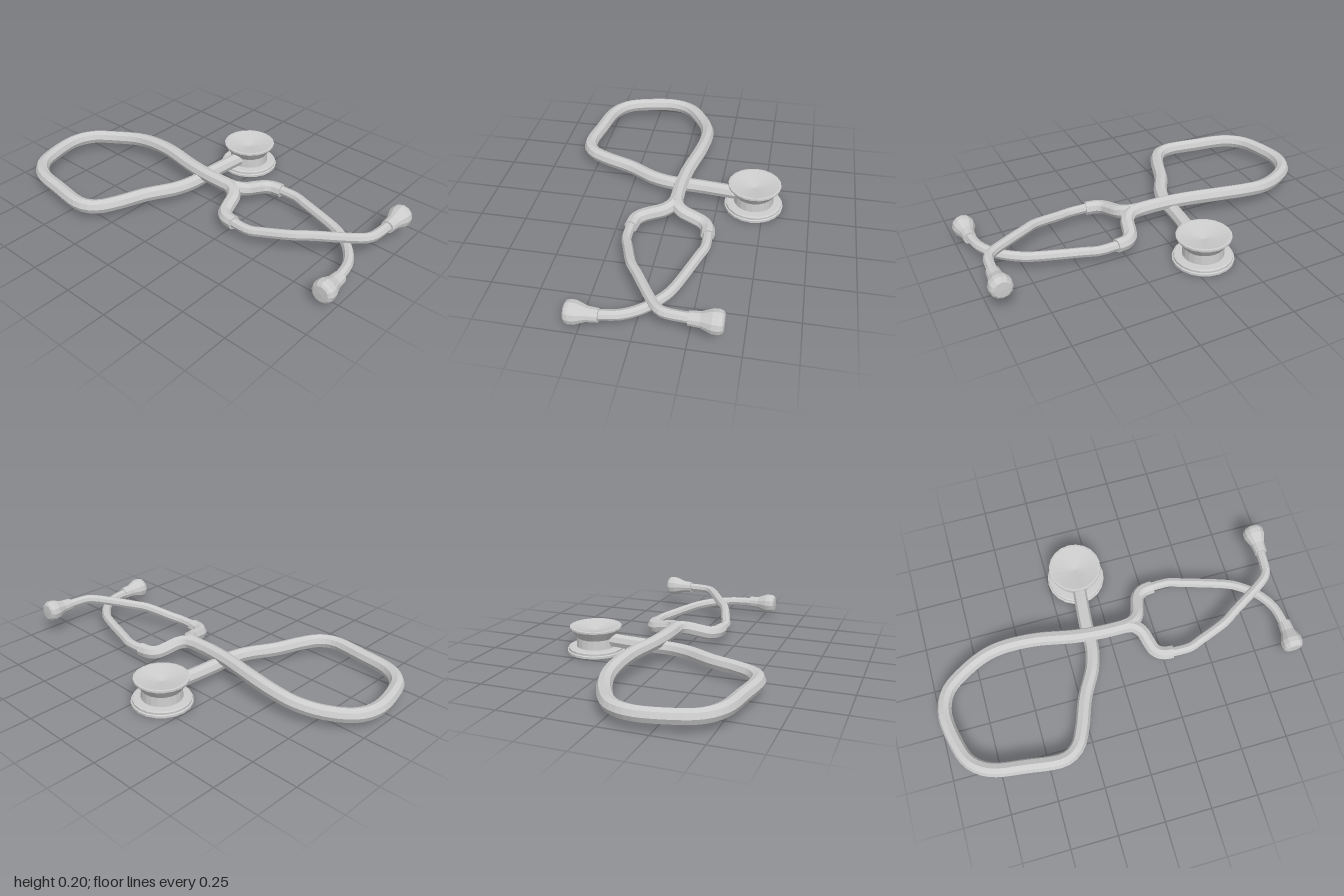
import * as THREE from 'three';

const material = new THREE.MeshStandardMaterial({ color: 0xcccccc, flatShading: true, side: THREE.DoubleSide });
const MID_Z = -0.045; // symmetry line of the headset

function part(name, geometry) {
  const mesh = new THREE.Mesh(geometry, material);
  mesh.name = name;
  return mesh;
}

// Round tube along a smooth path, closed at both ends
function hose(name, points, radius, segments, sides = 8) {
  const group = new THREE.Group();
  group.name = name;
  const curve = new THREE.CatmullRomCurve3(points.map(p => new THREE.Vector3(...p)), false, 'centripetal');
  group.add(part(name + 'Surface', new THREE.TubeGeometry(curve, segments, radius, sides)));
  for (const t of [0, 1]) {
    const cap = part(name + 'Cap', new THREE.CircleGeometry(radius, sides));
    const out = curve.getTangentAt(t).multiplyScalar(t ? 1 : -1);
    cap.position.copy(curve.getPointAt(t));
    cap.quaternion.setFromUnitVectors(new THREE.Vector3(0, 0, 1), out);
    group.add(cap);
  }
  return group;
}

function lathe(name, profile, sides) {
  return part(name, new THREE.LatheGeometry(profile.map(p => new THREE.Vector2(...p)), sides));
}

export function createModel() {
  const model = new THREE.Group();
  model.name = 'stethoscope';

  // Chest piece: wide diaphragm below, waist, dished bell above
  const chest = lathe('chestPiece', [
    [0, 0.015], [0.145, 0.004], [0.15, 0], [0.16, 0.002], [0.16, 0.014], [0.153, 0.017],
    [0.153, 0.028], [0.145, 0.032], [0.108, 0.034], [0.105, 0.085], [0.14, 0.132],
    [0.143, 0.135], [0.143, 0.145], [0.132, 0.146], [0, 0.118],
  ], 20);
  chest.position.set(-0.09, 0, -0.445);
  model.add(chest);

  // Main hose: from the chest piece round the loop, over itself, to the fork
  model.add(hose('mainHose', [
    [-0.09, 0.073, -0.37], [-0.1, 0.073, -0.28], [-0.115, 0.073, -0.1], [-0.117, 0.073, 0.01],
    [-0.145, 0.073, 0.12], [-0.225, 0.073, 0.27], [-0.285, 0.073, 0.43], [-0.335, 0.073, 0.52],
    [-0.41, 0.073, 0.562], [-0.61, 0.073, 0.543], [-0.8, 0.073, 0.508], [-0.89, 0.073, 0.44],
    [-0.935, 0.073, 0.33], [-0.961, 0.073, 0.15], [-0.92, 0.073, 0.04], [-0.8, 0.076, -0.05],
    [-0.67, 0.09, -0.103], [-0.56, 0.103, -0.114], [-0.4, 0.115, -0.102], [-0.19, 0.116, -0.062],
    [-0.05, 0.116, -0.047], [0.13, 0.114, MID_Z],
  ], 0.038, 84));

  // Fork arms, mirrored about the headset line
  for (const s of [-1, 1]) {
    model.add(hose(s < 0 ? 'backForkArm' : 'frontForkArm', [
      [0.07, 0.115, 0], [0.13, 0.113, 0.012], [0.168, 0.102, 0.05], [0.187, 0.088, 0.11],
      [0.205, 0.077, 0.16], [0.24, 0.074, 0.19], [0.3, 0.074, 0.2],
    ].map(([x, y, z]) => [x, y, MID_Z + s * z]), 0.037, 22));
  }

  // Ear tubes cross each other near the ear tips
  model.add(hose('frontEarTube', [
    [0.27, 0.075, 0.155], [0.4, 0.076, 0.155], [0.46, 0.084, 0.135], [0.62, 0.112, 0.078],
    [0.68, 0.119, 0.04], [0.9, 0.134, -0.1], [0.925, 0.136, -0.135], [0.94, 0.137, -0.28],
  ], 0.026, 40));
  model.add(hose('backEarTube', [
    [0.27, 0.075, -0.245], [0.4, 0.075, -0.245], [0.46, 0.076, -0.226], [0.72, 0.077, -0.14],
    [0.77, 0.077, -0.112], [0.85, 0.077, -0.045], [0.915, 0.076, 0.055], [0.94, 0.075, 0.19],
  ], 0.026, 40));

  // Ear tips: sleeve flaring into a rounded plug
  for (const [name, y, z, dir] of [['frontTubeEarTip', 0.137, -0.25, -1], ['backTubeEarTip', 0.075, 0.157, 1]]) {
    const tip = lathe(name, [
      [0, 0], [0.034, 0], [0.038, 0.055], [0.058, 0.108], [0.059, 0.135],
      [0.053, 0.152], [0.042, 0.16], [0, 0.162],
    ], 12);
    tip.position.set(0.94, y, z);
    tip.rotation.x = dir * Math.PI / 2;
    model.add(tip);
  }
  return model;
}
